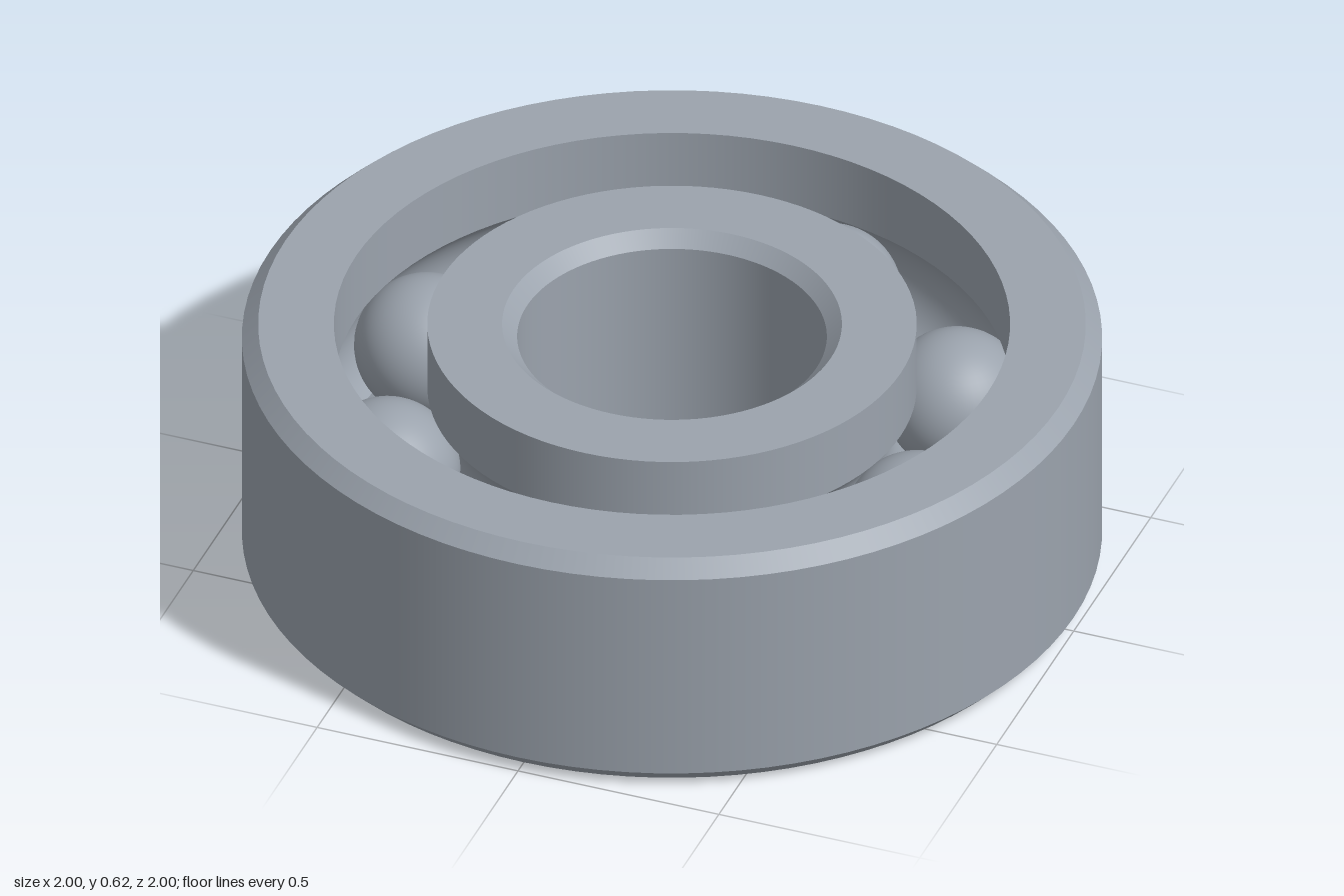
import * as THREE from 'three';
import { mergeGeometries } from 'three/addons/utils/BufferGeometryUtils.js';

const HEIGHT = 0.62, MID = HEIGHT / 2;
const PITCH = 0.677, BALL_R = 0.17, GROOVE_R = 0.172;
const OUTER_R = 1, OUTER_IN = 0.786, INNER_OUT = 0.569, BORE_R = 0.36;
const CHAMFER = 0.038, BORE_CHAMFER = 0.035;
const SEGMENTS = 96;

// Points of a ball groove, running from one angle to another around the pitch circle
function grooveArc(from, to, steps = 16) {
  return Array.from({ length: steps + 1 }, (_, i) => {
    const a = from + (to - from) * i / steps;
    return [PITCH + GROOVE_R * Math.cos(a), MID + GROOVE_R * Math.sin(a)];
  });
}

// Each run is lathed on its own, so edges between runs stay sharp
function ring(name, runs, material) {
  const parts = runs.map(run =>
    new THREE.LatheGeometry(run.map(([r, y]) => new THREE.Vector2(r, y)), SEGMENTS));
  const mesh = new THREE.Mesh(mergeGeometries(parts), material);
  mesh.name = name;
  return mesh;
}

// Split a closed outline into straight runs, keeping the groove as one smooth run
function outlineRuns(before, groove, after) {
  const first = [...before, groove[0]];
  const last = [groove[groove.length - 1], ...after, before[0]];
  const straight = pts => pts.slice(1).map((p, i) => [pts[i], p]);
  return [...straight(first), groove, ...straight(last)];
}

export function createModel() {
  const group = new THREE.Group();
  group.name = 'ballBearing';
  const steel = new THREE.MeshStandardMaterial({ color: 0x9ba3ad });
  steel.name = 'steel grey';

  // Outer ring: chamfered outside, grooved inside
  const ao = Math.acos((OUTER_IN - PITCH) / GROOVE_R);
  group.add(ring('outerRing', outlineRuns(
    [[OUTER_IN, 0], [OUTER_R - CHAMFER, 0], [OUTER_R, CHAMFER], [OUTER_R, HEIGHT - CHAMFER],
      [OUTER_R - CHAMFER, HEIGHT], [OUTER_IN, HEIGHT]],
    grooveArc(ao, -ao), []), steel));

  // Inner ring: grooved outside, chamfered bore
  const ai = Math.acos((PITCH - INNER_OUT) / GROOVE_R);
  group.add(ring('innerRing', outlineRuns(
    [[BORE_R, BORE_CHAMFER], [BORE_R + BORE_CHAMFER, 0], [INNER_OUT, 0]],
    grooveArc(Math.PI + ai, Math.PI - ai),
    [[INNER_OUT, HEIGHT], [BORE_R + BORE_CHAMFER, HEIGHT], [BORE_R, HEIGHT - BORE_CHAMFER]]), steel));

  // Eight balls, spaced evenly
  const ballGeometry = new THREE.SphereGeometry(BALL_R, 48, 32);
  const balls = new THREE.Group();
  balls.name = 'balls';
  for (let i = 0; i < 8; i++) {
    const a = THREE.MathUtils.degToRad(11.8 + 45 * i);
    const ball = new THREE.Mesh(ballGeometry, steel);
    ball.name = 'ball' + (i + 1);
    ball.position.set(PITCH * Math.sin(a), MID, -PITCH * Math.cos(a));
    balls.add(ball);
  }
  group.add(balls);
  return group;
}
